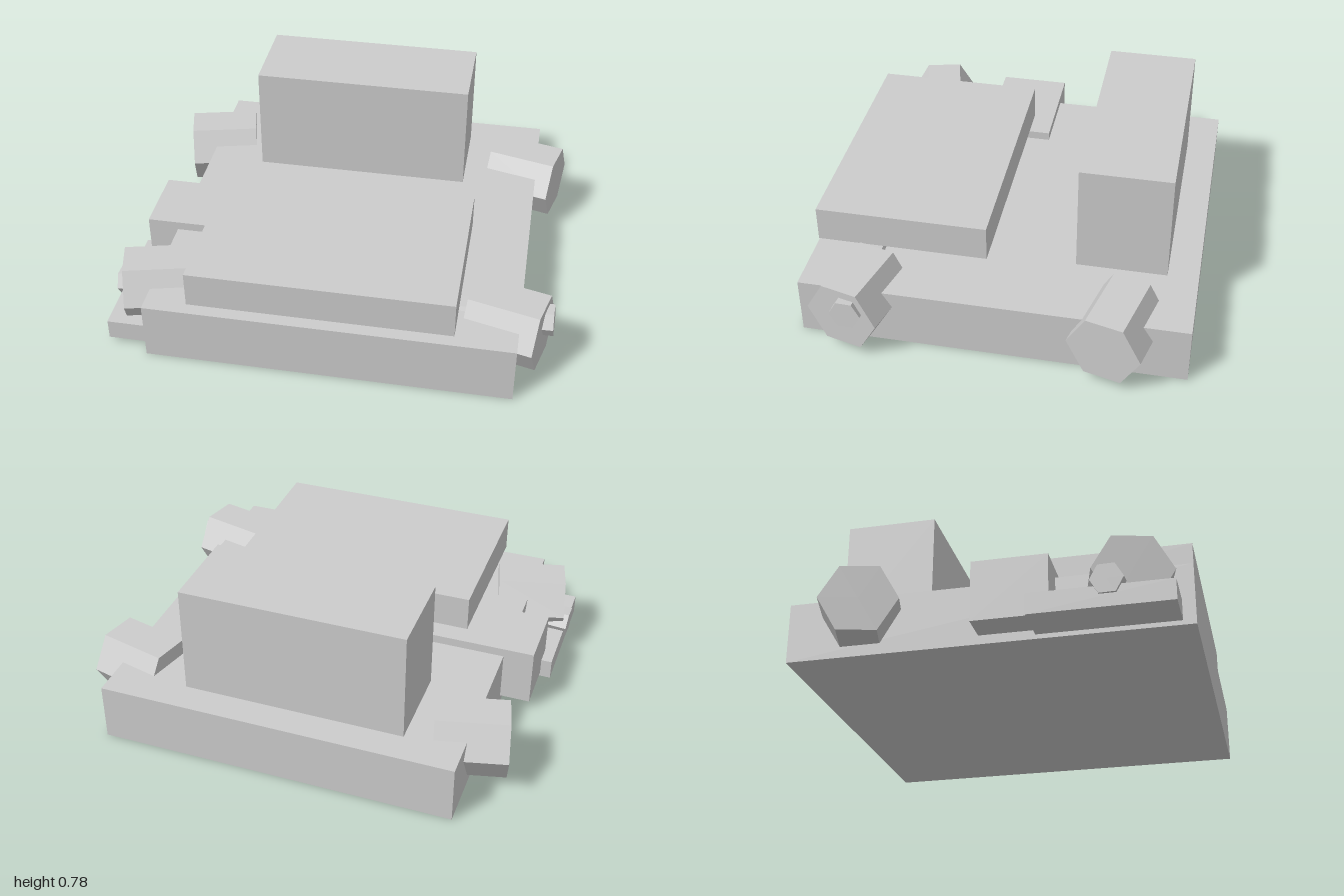
import * as THREE from 'three';

const material = new THREE.MeshStandardMaterial({ color: 0xcccccc, flatShading: true });

// Box given by its [min, max] extent on each axis
function box(name, [x0, x1], [y0, y1], [z0, z1]) {
  const mesh = new THREE.Mesh(new THREE.BoxGeometry(x1 - x0, y1 - y0, z1 - z0), material);
  mesh.position.set((x0 + x1) / 2, (y0 + y1) / 2, (z0 + z1) / 2);
  mesh.name = name;
  return mesh;
}

// Hexagonal prism lying along x, with flat top and bottom
function hexBar(name, radius, length) {
  const geometry = new THREE.CylinderGeometry(radius, radius, length, 6).rotateZ(-Math.PI / 2);
  const mesh = new THREE.Mesh(geometry, material);
  mesh.name = name;
  return mesh;
}

export function createModel() {
  const model = new THREE.Group();
  model.name = 'vehicle';

  // Chassis, raised rear box and floating front slab
  model.add(
    box('chassis', [-0.79, 0.85], [0, 0.27], [-0.87, 0.865]),
    box('rearBox', [-0.525, 0.497], [0.26, 0.78], [-0.73, -0.32]),
    box('frontSlab', [-0.587, 0.583], [0.31, 0.475], [0.07, 0.85]),
    // Step and low running board on the right side
    box('sideBlock', [-0.93, -0.44], [0.04, 0.31], [-0.03, 0.295]),
    box('runningBoard', [-0.98, -0.6], [0.02, 0.113], [0.21, 0.81])
  );

  // Four toed wheels
  for (const [end, z] of [['front', 0.6], ['rear', -0.547]]) {
    for (const [side, x, sign] of [['Left', 0.795, 1], ['Right', -0.778, -1]]) {
      const wheel = hexBar(`${end}${side}Wheel`, 0.17, 0.325);
      wheel.position.set(x, 0.197, z);
      wheel.rotation.y = -sign * THREE.MathUtils.degToRad(14);
      model.add(wheel);
    }
  }

  // Skewed front axle through both front wheels
  const start = new THREE.Vector3(-0.995, 0.137, 0.54);
  const end = new THREE.Vector3(0.995, 0.25, 0.607);
  const span = end.clone().sub(start);
  const axle = hexBar('frontAxle', 0.07, span.length());
  axle.position.copy(start).add(end).multiplyScalar(0.5);
  axle.quaternion.setFromUnitVectors(new THREE.Vector3(1, 0, 0), span.normalize());
  model.add(axle);

  return model;
}
